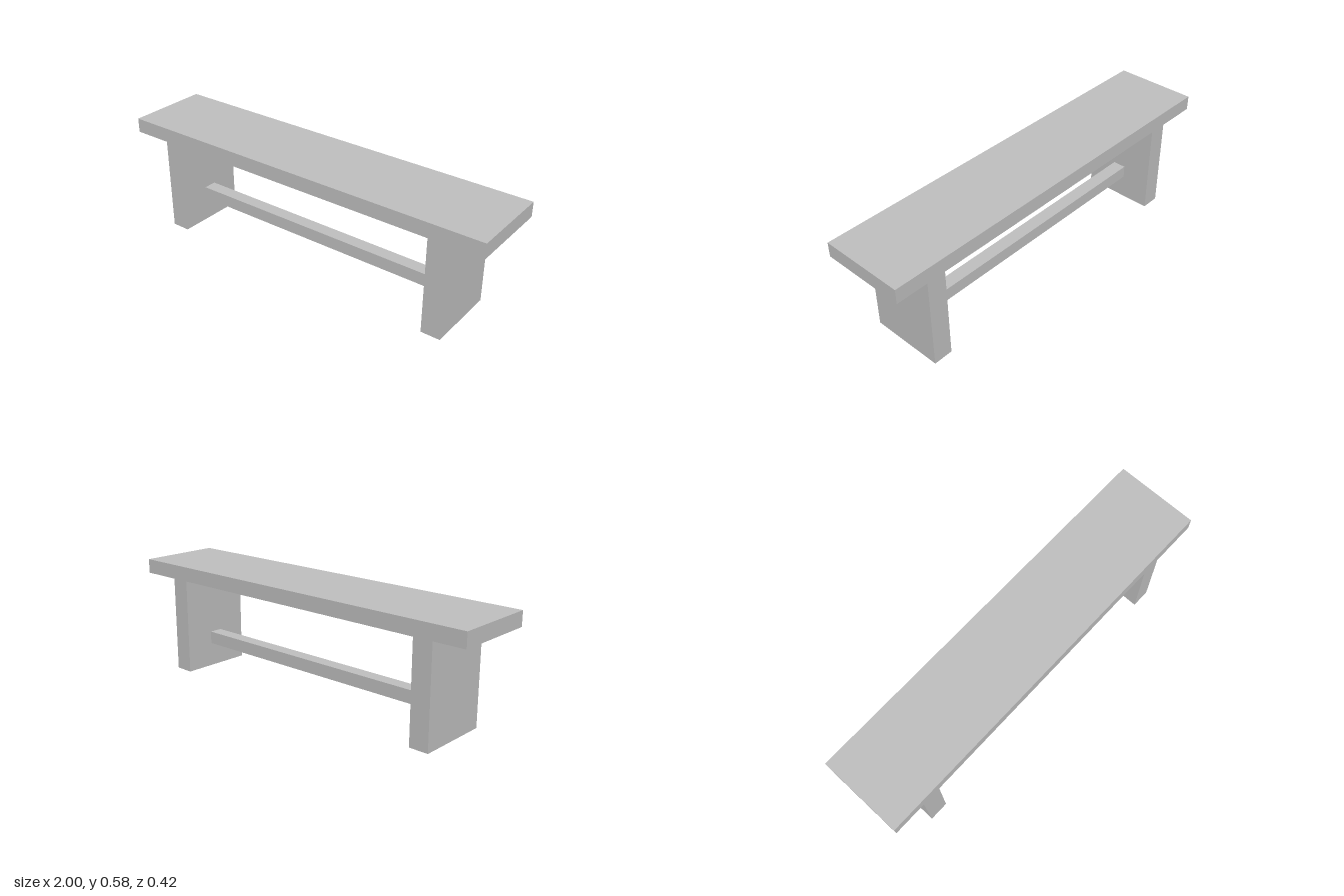
import * as THREE from 'three';

export function createModel() {
  const group = new THREE.Group();
  group.name = 'bench';
  const grey = new THREE.MeshStandardMaterial({ color: 0xc0c0c0 });
  grey.name = 'plain grey';

  // A box given by its extents on each axis
  function block(name, [x0, x1], [y0, y1], [z0, z1]) {
    const mesh = new THREE.Mesh(new THREE.BoxGeometry(x1 - x0, y1 - y0, z1 - z0), grey);
    mesh.position.set((x0 + x1) / 2, (y0 + y1) / 2, (z0 + z1) / 2);
    mesh.name = name;
    group.add(mesh);
  }

  // Seat plank
  block('seat', [-1, 1], [0.504, 0.578], [-0.212, 0.212]);

  // Slab legs, standing in from the seat ends
  block('rightLeg', [-0.825, -0.727], [0, 0.504], [-0.188, 0.188]);
  block('leftLeg', [0.722, 0.82], [0, 0.504], [-0.188, 0.188]);

  // Stretcher rail between the legs
  block('stretcher', [-0.727, 0.722], [0.125, 0.19], [-0.034, 0.034]);

  return group;
}
